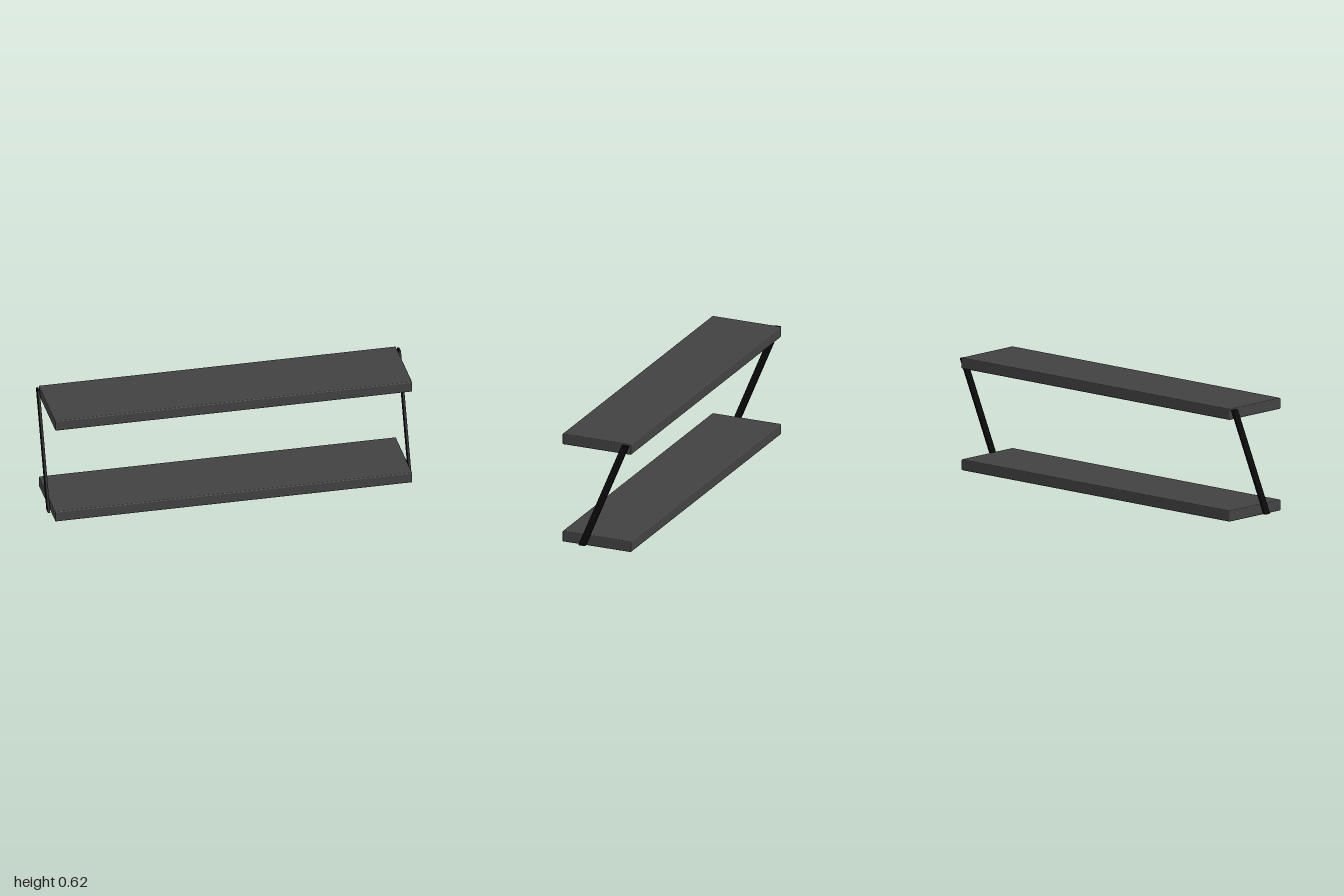
import * as THREE from 'three';
import { RoundedBoxGeometry } from 'three/addons/geometries/RoundedBoxGeometry.js';

export function createModel() {
  const group = new THREE.Group();
  group.name = 'wallShelf';
  const boardMaterial = new THREE.MeshStandardMaterial({ color: 0x424242 });
  const strapMaterial = new THREE.MeshStandardMaterial({ color: 0x0c0c0c });

  // Two identical boards with softened edges
  const boardGeometry = new RoundedBoxGeometry(1.964, 0.06, 0.404, 2, 0.005);
  for (const [name, y] of [['lowerBoard', 0.031], ['upperBoard', 0.589]]) {
    const board = new THREE.Mesh(boardGeometry, boardMaterial);
    board.name = name;
    board.position.y = y;
    group.add(board);
  }

  // Slanted flat straps: a parallelogram in the z-y plane, cut level at both ends
  const thickness = 0.013;
  const outline = new THREE.Shape([
    new THREE.Vector2(0.06, 0.002),
    new THREE.Vector2(0.1, 0.002),
    new THREE.Vector2(-0.155, 0.613),
    new THREE.Vector2(-0.195, 0.613),
  ]);
  const strapGeometry = new THREE.ExtrudeGeometry(outline, { depth: thickness, bevelEnabled: false });
  strapGeometry.translate(0, 0, -thickness / 2).rotateY(-Math.PI / 2);
  for (const side of [-1, 1]) {
    const strap = new THREE.Mesh(strapGeometry, strapMaterial);
    strap.name = side > 0 ? 'leftStrap' : 'rightStrap';
    strap.position.x = side * (1 - thickness / 2);
    group.add(strap);
  }
  return group;
}
